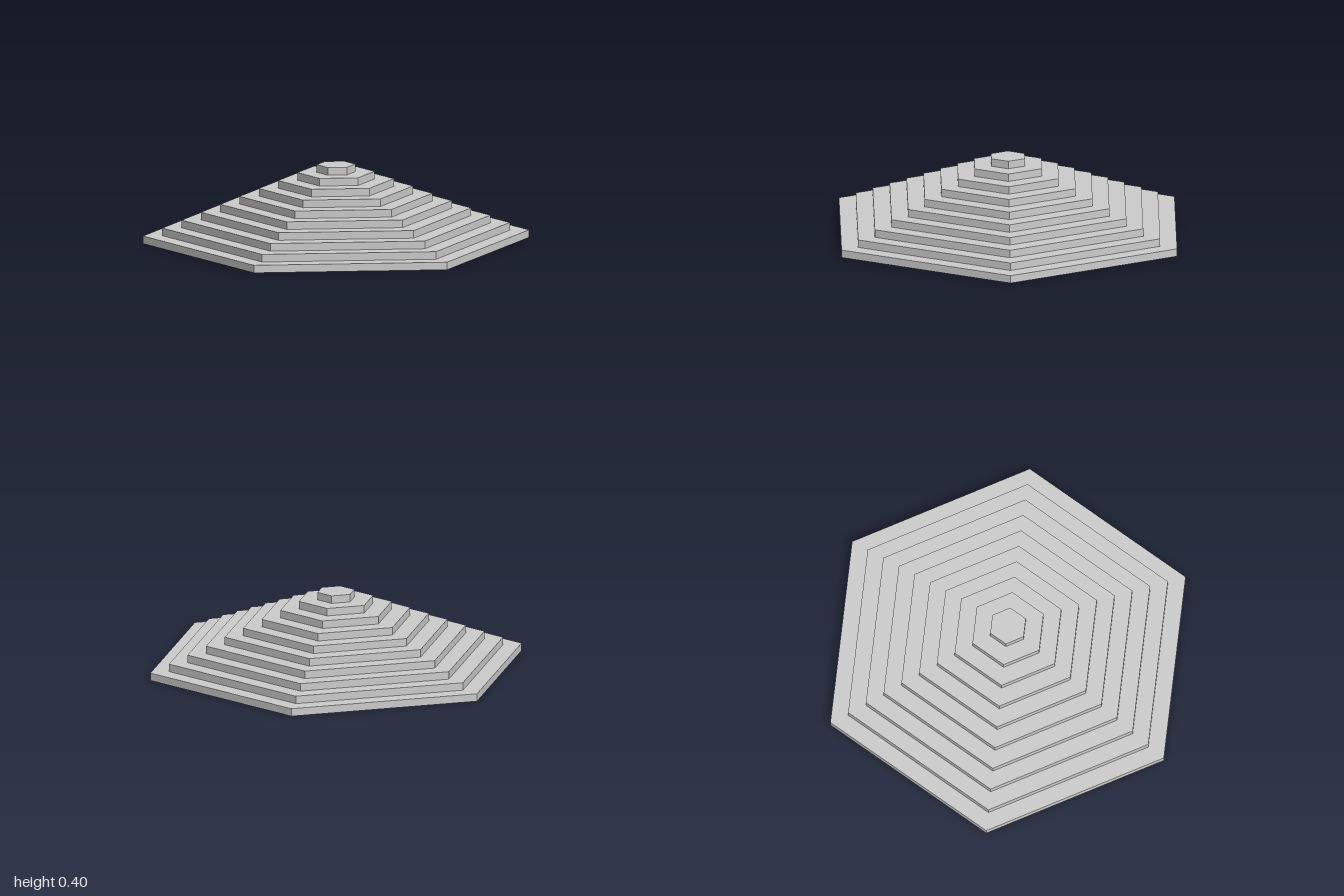
import * as THREE from 'three';

const TIERS = 10;
const RISE = 0.04;
const RUN = 0.1;

export function createModel() {
  const group = new THREE.Group();
  group.name = 'steppedHexagonalPyramid';

  const material = new THREE.MeshStandardMaterial({
    color: 0xcccccc,
    flatShading: true,
    side: THREE.DoubleSide,
  });

  // Hollow shell: each tier is one riser wall and the tread ring above it,
  // and the last tread closes to the centre as the flat top.
  for (let i = 0; i < TIERS; i++) {
    const outer = RUN * (TIERS - i);
    const inner = RUN * (TIERS - i - 1);
    const profile = [
      new THREE.Vector2(outer, 0),
      new THREE.Vector2(outer, RISE),
      new THREE.Vector2(inner, RISE),
    ];
    // Six sides, with corners on the x axis
    const tier = new THREE.Mesh(new THREE.LatheGeometry(profile, 6, Math.PI / 2), material);
    tier.name = i === TIERS - 1 ? 'topTier' : `tier${i + 1}`;
    tier.position.y = i * RISE;
    group.add(tier);
  }

  return group;
}
